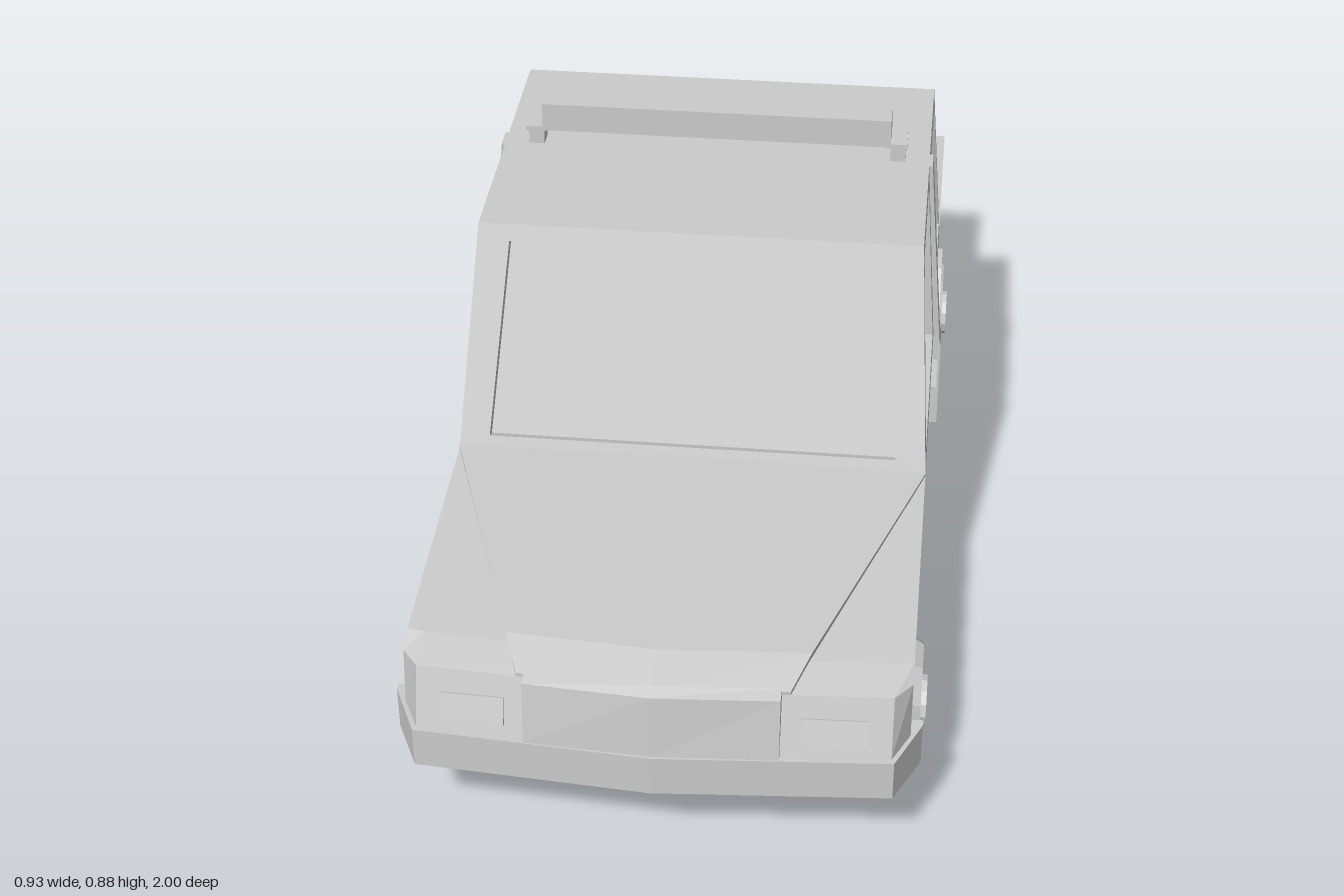
import * as THREE from 'three';

const material = new THREE.MeshStandardMaterial({ color: 0xcccccc, flatShading: true });

function add(parent, name, geometry, x = 0, y = 0, z = 0) {
  const mesh = new THREE.Mesh(geometry, material);
  mesh.name = name;
  mesh.position.set(x, y, z);
  parent.add(mesh);
  return mesh;
}

function fromTriangles(tris) {
  const g = new THREE.BufferGeometry();
  g.setAttribute('position', new THREE.Float32BufferAttribute(tris.flat(2), 3));
  g.computeVertexNormals();
  return g;
}

// Capped solid through matching cross-sections, always facing outwards
function loft(sections) {
  const tris = [];
  const n = sections[0].length;
  for (let s = 0; s < sections.length - 1; s++) {
    const a = sections[s], b = sections[s + 1];
    for (let i = 0; i < n; i++) {
      const j = (i + 1) % n;
      tris.push([a[i], a[j], b[j]], [a[i], b[j], b[i]]);
    }
  }
  const first = sections[0], last = sections[sections.length - 1];
  for (let i = 1; i < n - 1; i++) {
    tris.push([first[0], first[i + 1], first[i]], [last[0], last[i], last[i + 1]]);
  }
  let volume = 0;
  for (const [a, b, c] of tris) {
    volume += a[0] * (b[1] * c[2] - b[2] * c[1]) + a[1] * (b[2] * c[0] - b[0] * c[2])
      + a[2] * (b[0] * c[1] - b[1] * c[0]);
  }
  return fromTriangles(volume < 0 ? tris.map(([a, b, c]) => [a, c, b]) : tris);
}

const flip = (points) => points.map(([x, y, z]) => [-x, y, z]);
const mirrored = (half) => [...half, ...half.slice(0, -1).reverse().map(flip)];
const column = (x, zy) => zy.map(([z, y]) => [x, y, z]);

// Four-sided frame around a recessed pane; corners run counter-clockwise
function windowPanel(outer, inner, depth) {
  const v = outer.map((p) => new THREE.Vector3(...p));
  const normal = v[1].clone().sub(v[0]).cross(v[3].clone().sub(v[0])).normalize();
  const deep = inner.map((p) => new THREE.Vector3(...p).addScaledVector(normal, -depth).toArray());
  const tris = [];
  const quad = (a, b, c, d) => tris.push([a, b, c], [a, c, d]);
  for (let i = 0; i < 4; i++) {
    const j = (i + 1) % 4;
    quad(outer[i], outer[j], inner[j], inner[i]);
    quad(inner[i], inner[j], deep[j], deep[i]);
  }
  quad(...deep);
  return fromTriangles(tris);
}

function buildBody(car) {
  add(car, 'body', new THREE.BoxGeometry(0.88, 0.22, 1.29), 0, 0.28, -0.305);
  add(car, 'rearBumper', new THREE.BoxGeometry(0.88, 0.07, 0.06), 0, 0.205, -0.97);

  // Wings and nose with chamfered corners
  add(car, 'frontBody', loft(mirrored([
    column(0.44, [[0.34, 0.39], [0.845, 0.37], [0.885, 0.355], [0.9, 0.25], [0.9, 0.17], [0.34, 0.17]]),
    column(0.41, [[0.34, 0.39], [0.85, 0.37], [0.925, 0.358], [0.96, 0.25], [0.96, 0.17], [0.34, 0.17]]),
    column(0, [[0.34, 0.39], [0.88, 0.37], [0.95, 0.358], [0.985, 0.25], [0.985, 0.17], [0.34, 0.17]]),
  ])));

  // Raised hood tapering towards the grille
  const hoodEdge = [[0.44, 0.395, 0.34], [0.265, 0.385, 0.855], [0.235, 0.365, 0.935]];
  const hoodMiddle = [[0, 0.403, 0.34], [0, 0.391, 0.88], [0, 0.37, 0.965]];
  const withUnderside = (top) => [...top, ...top.map(([x, y, z]) => [x, y - 0.035, z]).reverse()];
  add(car, 'hood', loft(mirrored([hoodEdge, hoodMiddle].map(withUnderside))));

  add(car, 'grille', loft(mirrored([
    column(0.22, [[0.93, 0.25], [0.94, 0.376], [0.967, 0.37], [0.982, 0.25]]),
    column(0, [[0.95, 0.25], [0.962, 0.382], [0.985, 0.373], [0.995, 0.25]]),
  ])));

  add(car, 'frontBumper', loft(mirrored([
    column(0.46, [[0.86, 0.17], [0.86, 0.255], [0.875, 0.255], [0.875, 0.17]]),
    column(0.415, [[0.86, 0.17], [0.86, 0.25], [0.97, 0.25], [0.97, 0.17]]),
    column(0, [[0.86, 0.17], [0.86, 0.25], [1, 0.25], [1, 0.17]]),
  ])));

  for (const s of [1, -1]) {
    const lamp = add(car, 'headlight', new THREE.BoxGeometry(0.115, 0.05, 0.014), s * 0.312, 0.293, 0.95);
    lamp.rotation.set(-0.35, s * 0.06, 0);
  }
}

function buildCabin(car) {
  const sideX = (y) => 0.44 - 0.07 * (y - 0.39) * 0.95;
  const base = 0.39, roof = 0.79, low = 0.415, high = 0.76;
  const cabin = new THREE.Group();
  cabin.name = 'cabin';
  car.add(cabin);

  const b = sideX(base), t = sideX(roof);
  add(cabin, 'windshield', windowPanel(
    [[-b, base, 0.34], [b, base, 0.34], [t, roof, 0.175], [-t, roof, 0.175]],
    [[-0.383, low, 0.33], [0.383, low, 0.33], [0.355, high, 0.187], [-0.355, high, 0.187]], 0.022));
  add(cabin, 'rearWindow', windowPanel(
    [[b, base, -0.545], [-b, base, -0.545], [-t, roof, -0.43], [t, roof, -0.43]],
    [[0.383, low, -0.538], [-0.383, low, -0.538], [-0.355, high, -0.439], [0.355, high, -0.439]], 0.022));
  add(cabin, 'roof', fromTriangles([
    [[-t, roof, 0.175], [t, roof, 0.175], [t, roof, -0.43]],
    [[-t, roof, 0.175], [t, roof, -0.43], [-t, roof, -0.43]],
  ]));

  // Side windows: front and rear z of the frame and of the pane, at the sill and at the roof
  const ring = (y0, y1, [f0, r0, r1, f1]) =>
    [[sideX(y0), y0, f0], [sideX(y0), y0, r0], [sideX(y1), y1, r1], [sideX(y1), y1, f1]];
  const sides = [
    ['frontSideWindow', [0.34, -0.165, -0.14, 0.175], [0.293, -0.098, -0.092, 0.16]],
    ['rearSideWindow', [-0.165, -0.545, -0.43, -0.14], [-0.2, -0.525, -0.42, -0.177]],
  ];
  for (const [name, frame, pane] of sides) {
    const outer = ring(base, roof, frame), inner = ring(low, high, pane);
    add(cabin, name, windowPanel(outer, inner, 0.018));
    add(cabin, name, windowPanel(flip(outer).reverse(), flip(inner).reverse(), 0.018));
  }

  // Door pillars and handles
  const slice = (s, y, x, z0, z1) => [[s * (x - 0.04), y, z0], [s * x, y, z0], [s * x, y, z1], [s * (x - 0.04), y, z1]];
  for (const s of [1, -1]) {
    add(cabin, 'doorPillar', loft([slice(s, 0.37, b + 0.013, -0.14, -0.187), slice(s, roof, t + 0.007, -0.118, -0.165)]));
    add(cabin, 'doorPost', loft([slice(s, 0.172, 0.456, -0.138, -0.188), slice(s, 0.365, 0.456, -0.138, -0.188),
      slice(s, 0.385, 0.45, -0.138, -0.188)]));
    add(cabin, 'doorHandle', new THREE.BoxGeometry(0.03, 0.024, 0.098), s * 0.436, 0.343, -0.05);
  }
}

function buildLightBar(car) {
  add(car, 'lightBar', new THREE.BoxGeometry(0.675, 0.057, 0.064), 0, 0.856, -0.149);
  for (const s of [1, -1]) {
    add(car, 'lightBarFoot', new THREE.BoxGeometry(0.03, 0.045, 0.036), s * 0.352, 0.811, -0.149);
    add(car, 'lightBarBracket', new THREE.BoxGeometry(0.04, 0.009, 0.064), s * 0.35, 0.83, -0.149);
  }
}

function buildWheels(car) {
  // Ten-sided chamfered tyre, turned to lie along x
  const profile = [[0, -0.093], [0.108, -0.093], [0.131, -0.057], [0.131, 0.057], [0.108, 0.093], [0, 0.093]];
  const tyre = new THREE.LatheGeometry(profile.map(([r, h]) => new THREE.Vector2(r, h)), 10).rotateZ(Math.PI / 2);
  const hub = new THREE.CylinderGeometry(0.047, 0.047, 0.206, 12).rotateZ(Math.PI / 2);
  for (const s of [1, -1]) {
    for (const [name, z] of [['frontWheel', 0.663], ['rearWheel', -0.625]]) {
      const wheel = new THREE.Group();
      wheel.name = name;
      wheel.position.set(s * 0.362, 0.125, z);
      add(wheel, 'tyre', tyre);
      add(wheel, 'hub', hub);
      car.add(wheel);
    }
    // Half-decagon arch above the rear wheel
    const arc = (x) => Array.from({ length: 6 }, (_, i) => {
      const a = (i * Math.PI) / 5;
      return [s * x, 0.125 + 0.148 * Math.sin(a), -0.625 + 0.13 * Math.cos(a)];
    });
    add(car, 'rearWheelArch', loft([arc(0.4), arc(0.45)]));
  }
}

export function createModel() {
  const car = new THREE.Group();
  car.name = 'car';
  buildBody(car);
  buildCabin(car);
  buildLightBar(car);
  buildWheels(car);
  return car;
}
